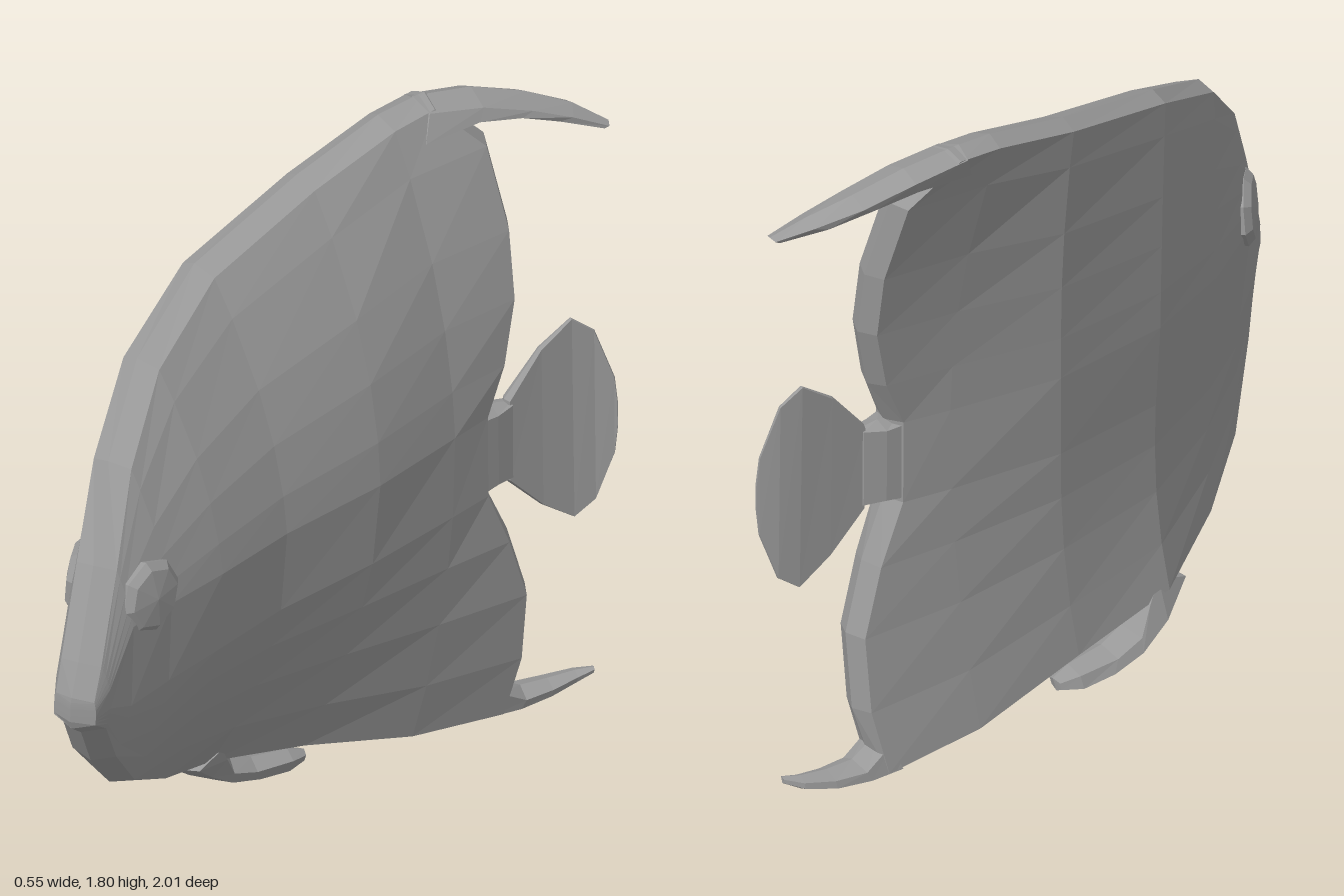
import * as THREE from 'three';

const material = new THREE.MeshStandardMaterial({ color: 0x999999, flatShading: true });
const MID_Y = 0.85;

// Piecewise-linear lookup; keys run from high to low
function lookup(table, k) {
  if (k >= table[0][0]) return table[0][1];
  for (let i = 1; i < table.length; i++) {
    const [k0, v0] = table[i - 1], [k1, v1] = table[i];
    if (k >= k1) return v0 + (v1 - v0) * (k - k0) / (k1 - k0);
  }
  return table[table.length - 1][1];
}

// The whole fish curls sideways: along its length and towards its upper and lower edges
const spine = [[1, 0.04], [0.72, -0.035], [0.5, -0.06], [0.2, -0.07], [-0.2, -0.005], [-0.6, 0.105], [-0.8, 0.19], [-0.9, 0.245], [-1, 0.335]];
const lowerCurl = [[1, 0.25], [0.2, 0.32], [-0.3, 0.15], [-0.7, 0.13], [-1, 0.16]];
function bend(z, y) {
  const curl = y > MID_Y ? 0.23 : lookup(lowerCurl, z);
  return lookup(spine, z) - curl * (y - MID_Y) ** 2;
}
// Point at a signed distance h from the curled middle sheet
function offsetPoint(z, y, h) {
  const e = 0.06;
  const slope = (bend(z + e, y) - bend(z - e, y)) / (2 * e);
  const n = new THREE.Vector2(1, -slope).normalize();
  return [bend(z, y) + n.x * h, y, z + n.y * h];
}

// Closed slab from columns (front to back) of [z, y, halfThickness] points (bottom to top),
// with a bevelled rim that comes to a ridge between the two faces
function slab(name, columns) {
  const nc = columns.length, nr = columns[0].length, half = nc * nr;
  const points = columns.flat();
  const positions = [], index = [];
  for (const side of [1, -1])
    for (const [z, y, h] of points) positions.push(...offsetPoint(z, y, side * h));
  const id = (i, j) => i * nr + j;
  const quad = (a, b, c, d) => index.push(a, b, c, a, c, d);
  for (let i = 0; i < nc - 1; i++)
    for (let j = 0; j < nr - 1; j++) {
      const a = id(i, j), b = id(i + 1, j), c = id(i + 1, j + 1), d = id(i, j + 1);
      quad(a, b, c, d);
      quad(half + d, half + c, half + b, half + a);
    }
  const loop = [];
  for (let i = 0; i < nc - 1; i++) loop.push(id(i, 0));
  for (let j = 0; j < nr - 1; j++) loop.push(id(nc - 1, j));
  for (let i = nc - 1; i > 0; i--) loop.push(id(i, nr - 1));
  for (let j = nr - 1; j > 0; j--) loop.push(id(0, j));
  const count = loop.length;
  loop.forEach((p, n) => {
    const before = points[loop[(n + count - 1) % count]], after = points[loop[(n + 1) % count]];
    const out = new THREE.Vector2(before[1] - after[1], after[0] - before[0]).normalize();
    const [z, y, h] = points[p];
    positions.push(...offsetPoint(z + out.x * h * 0.4, y + out.y * h * 0.4, 0));
    const m = (n + 1) % count, q = loop[m], ridgeP = 2 * half + n, ridgeQ = 2 * half + m;
    quad(q, p, ridgeP, ridgeQ);
    quad(ridgeQ, ridgeP, half + p, half + q);
  });
  const indexed = new THREE.BufferGeometry();
  indexed.setAttribute('position', new THREE.Float32BufferAttribute(positions, 3));
  indexed.setIndex(index);
  const geometry = indexed.toNonIndexed();
  geometry.computeVertexNormals();
  const mesh = new THREE.Mesh(geometry, material);
  mesh.name = name;
  return mesh;
}

// Two-edged fin from rows of [zLow, yLow, zHigh, yHigh, halfThickness]
const fin = (name, rows) => slab(name, rows.map(([z0, y0, z1, y1, h]) => [[z0, y0, h], [z1, y1, h]]));

// Body with its upper and lower fins, ending in the notched trailing edge
function makeBody() {
  const edges = [ // zBottom, yBottom, zTop, yTop
    [0.985, 0.77, 0.985, 0.835], [0.92, 0.72, 0.945, 0.915], [0.83, 0.58, 0.82, 1.12],
    [0.66, 0.41, 0.67, 1.325], [0.46, 0.3, 0.47, 1.5], [0.2, 0.215, 0.18, 1.62],
    [-0.1, 0.15, -0.2, 1.71], [-0.42, 0.06, -0.47, 1.775],
  ];
  const stalkLow = 0.74, stalkHigh = 0.97, finLow = 0.03, finHigh = 1.79;
  const trailing = [
    [-0.69, finLow], [-0.71, 0.2], [-0.7, 0.4], [-0.64, 0.58], [-0.57, stalkLow], [-0.57, stalkHigh],
    [-0.63, 1.1], [-0.68, 1.27], [-0.7, 1.45], [-0.7, 1.67], [-0.6, finHigh],
  ];
  const thickness = [[1, 0.055], [0.94, 0.075], [0.72, 0.122], [0.5, 0.158], [0.2, 0.172], [-0.2, 0.155], [-0.57, 0.052]];
  const columns = edges.map(([z0, y0, z1, y1], i) => {
    // Rows level with the tail stalk run straight forward to the head
    const low = i < 2 ? y0 + (y1 - y0) * 0.35 : stalkLow, high = i < 2 ? y0 + (y1 - y0) * 0.65 : stalkHigh;
    const rows = [[finHigh, y1], [stalkHigh, high], [stalkLow, low], [finLow, y0]];
    return trailing.map(([, rowY]) => {
      const y = lookup(rows, rowY), v = (y - y0) / (y1 - y0);
      const z = z0 + (z1 - z0) * v, t = 2 * v - 1;
      // The belly thins faster than the back
      const rim = t < 0 ? 0.06 : 0.055, falloff = Math.abs(t) ** (t < 0 ? 1.3 : 2);
      return [z, y, rim + (lookup(thickness, z) - rim) * (1 - falloff)];
    });
  });
  columns.push(trailing.map(([z, y]) => [z, y, 0.054]));
  return slab('body', columns);
}

// Shallow eye with eight sides
function makeEye(name, position, direction) {
  const profile = [[0.09, -0.05], [0.1, 0], [0.08, 0.018], [0, 0.028]].map(([r, h]) => new THREE.Vector2(r, h));
  const eye = new THREE.Mesh(new THREE.LatheGeometry(profile, 8), material);
  eye.name = name;
  eye.position.set(...position);
  eye.quaternion.setFromUnitVectors(new THREE.Vector3(0, 1, 0), new THREE.Vector3(...direction).normalize());
  return eye;
}

export function createModel() {
  const fish = new THREE.Group();
  fish.name = 'fish';
  fish.add(makeBody());
  fish.add(makeEye('leftEye', [0.07, 1.02, 0.72], [1, 0.08, 0.1]));
  fish.add(makeEye('rightEye', [-0.14, 1.02, 0.75], [-0.88, 0.08, 0.46]));

  // Trailing tips of the upper and lower fins
  fish.add(fin('upperFinTip', [
    [-0.54, 1.72, -0.58, 1.787, 0.058], [-0.7, 1.735, -0.72, 1.767, 0.062], [-0.81, 1.715, -0.84, 1.727, 0.058],
    [-0.9, 1.68, -0.93, 1.687, 0.044], [-0.98, 1.64, -0.99, 1.645, 0.02],
  ]));
  fish.add(fin('lowerFinTip', [
    [-0.65, 0.03, -0.67, 0.1, 0.052], [-0.74, 0.025, -0.75, 0.05, 0.05], [-0.83, 0.03, -0.83, 0.05, 0.04],
    [-0.9, 0.045, -0.9, 0.06, 0.025], [-0.935, 0.06, -0.935, 0.07, 0.01],
  ]));

  // Tail stalk and thin tail fan
  fish.add(fin('tailStalk', [
    [-0.56, 0.75, -0.56, 0.96, 0.052], [-0.61, 0.755, -0.61, 0.955, 0.042], [-0.66, 0.75, -0.66, 0.96, 0.022],
  ]));
  fish.add(fin('tailFin', [
    [-0.655, 0.74, -0.655, 0.97, 0.018], [-0.75, 0.635, -0.75, 1.085, 0.01], [-0.835, 0.57, -0.835, 1.145, 0.006],
    [-0.885, 0.61, -0.885, 1.1, 0.005], [-0.92, 0.74, -0.92, 0.96, 0.004], [-0.925, 0.82, -0.925, 0.88, 0.004],
  ]));

  // Swept-back belly fin
  fish.add(fin('bellyFin', [
    [0.27, 0.215, 0.18, 0.25, 0.062], [0.17, 0.15, 0.14, 0.2, 0.062], [0.08, 0.095, 0.09, 0.13, 0.058],
    [-0.01, 0.068, 0.01, 0.1, 0.052], [-0.1, 0.055, -0.1, 0.088, 0.042], [-0.15, 0.06, -0.15, 0.077, 0.022],
  ]));
  return fish;
}
